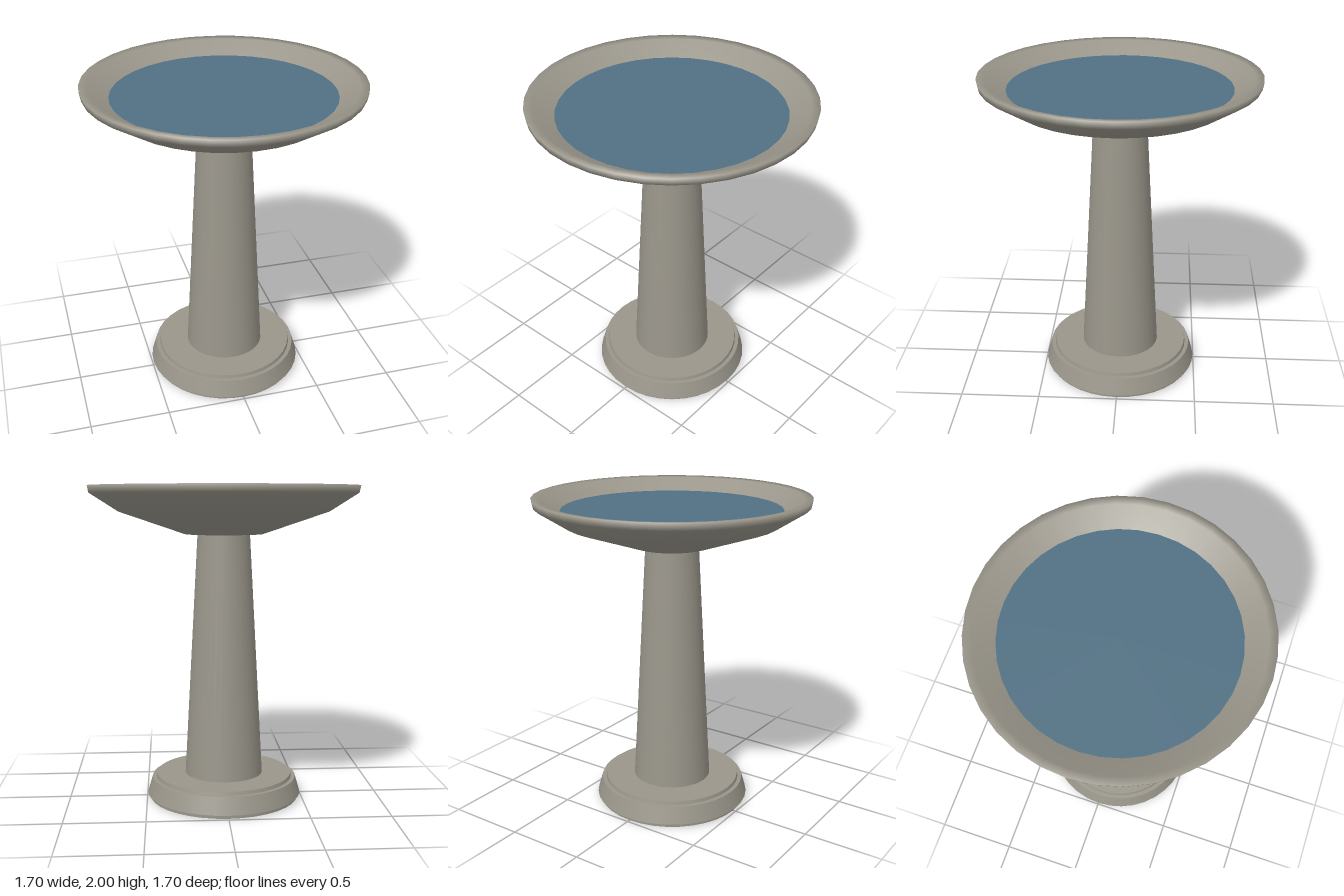
import * as THREE from 'three';

const SEGMENTS = 36;

export function createModel() {
  const stone = new THREE.MeshStandardMaterial({ color: 0x9a968b });
  stone.name = 'stone';
  const water = new THREE.MeshStandardMaterial({ color: 0x507083 });
  water.name = 'water';

  const model = new THREE.Group();
  model.name = 'birdBath';

  const add = (name, geometry, material, parent = model) => {
    const mesh = new THREE.Mesh(geometry, material);
    mesh.name = name;
    parent.add(mesh);
    return mesh;
  };

  // Round tapered piece standing between two heights
  const drum = (name, rBottom, rTop, y0, y1, parent) => {
    const geometry = new THREE.CylinderGeometry(rTop, rBottom, y1 - y0, SEGMENTS);
    add(name, geometry, stone, parent).position.y = (y0 + y1) / 2;
  };

  // Stepped base: foot, sloped plinth and top step
  const base = new THREE.Group();
  base.name = 'base';
  model.add(base);
  drum('foot', 0.48, 0.48, 0, 0.025, base);
  drum('plinth', 0.497, 0.465, 0.025, 0.133, base);
  drum('topStep', 0.44, 0.435, 0.133, 0.155, base);

  // Tapered pedestal
  drum('pedestal', 0.25, 0.165, 0.155, 1.71);

  // Basin: underside, outer wall, rolled rim and hollow, smoothly shaded
  const profile = [
    [0, 1.7], [0.25, 1.7], [0.66, 1.84], [0.84, 1.955], [0.85, 2],
    [0.8, 1.995], [0.68, 1.92], [0.5, 1.84], [0, 1.8],
  ].map(([r, y]) => new THREE.Vector2(r, y));
  add('basin', new THREE.LatheGeometry(profile, SEGMENTS), stone);

  // Flat water surface
  const surface = new THREE.CircleGeometry(0.68, SEGMENTS).rotateX(-Math.PI / 2);
  add('waterSurface', surface, water).position.y = 1.921;

  return model;
}
